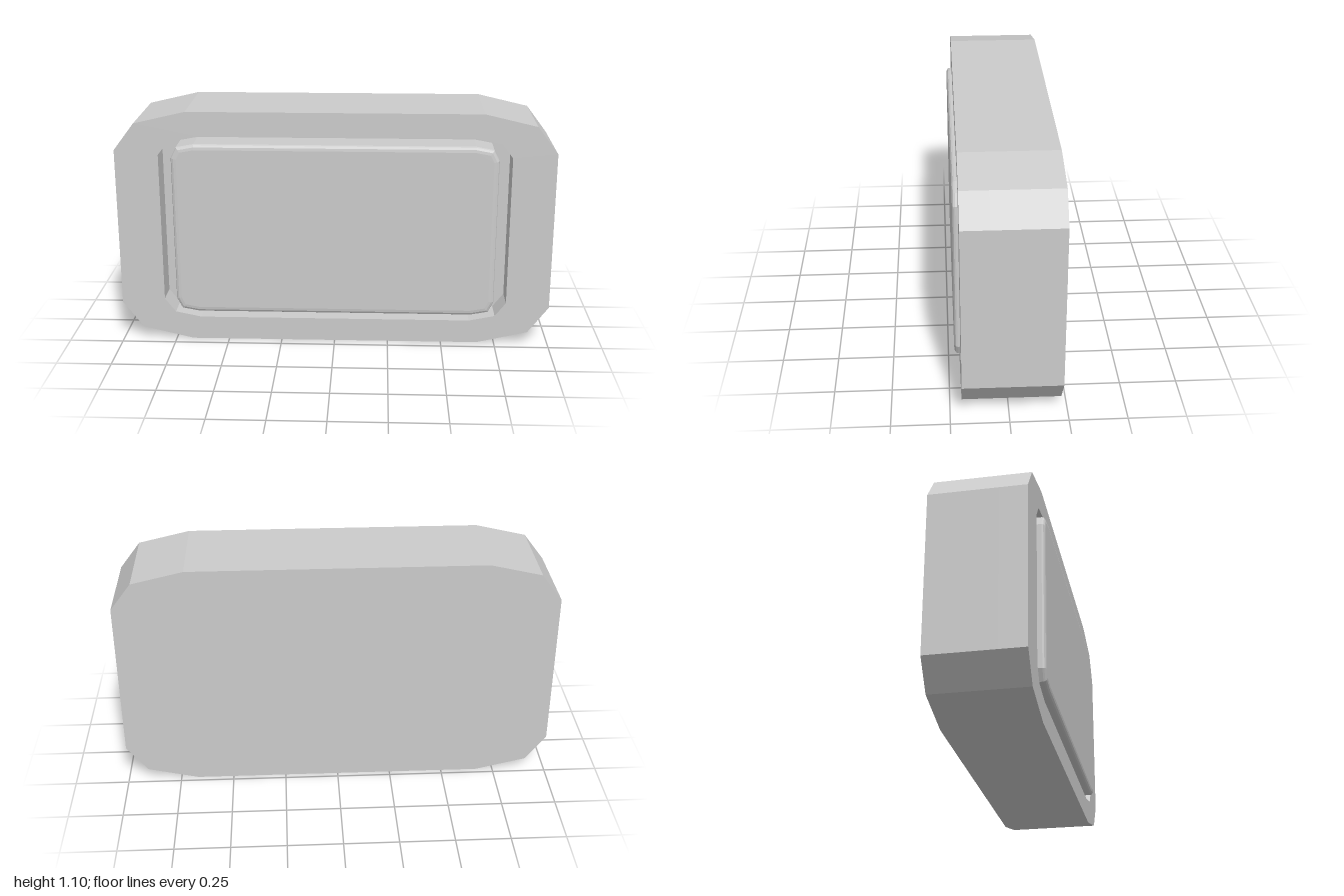
import * as THREE from 'three';

const MID_Y = 0.55;
const RECESS_Z = 0.08;

// Closed outline mirrored from the three points of its upper +x corner
function outline(corner, PathType = THREE.Shape) {
  const back = [...corner].reverse();
  const points = [
    ...corner,
    ...back.map(([x, y]) => [-x, y]),
    ...corner.map(([x, y]) => [-x, -y]),
    ...back.map(([x, y]) => [x, -y]),
  ];
  return new PathType(points.map(([x, y]) => new THREE.Vector2(x, y)));
}

export function createModel() {
  const model = new THREE.Group();
  model.name = 'recessedPanelBlock';
  const material = new THREE.MeshStandardMaterial({ color: 0xcccccc, flatShading: true });

  function addExtrusion(name, shape, z, depth, bevel = { bevelEnabled: false }) {
    const geometry = new THREE.ExtrudeGeometry(shape, { depth, ...bevel });
    const mesh = new THREE.Mesh(geometry, material);
    mesh.name = name;
    mesh.position.set(0, MID_Y, z);
    model.add(mesh);
  }

  // Solid rear of the body, which also forms the recess floor
  const bodyCorner = [[1, 0.37], [0.905, 0.495], [0.67, 0.55]];
  addExtrusion('bodyBack', outline(bodyCorner), -0.225, RECESS_Z + 0.225);

  // Front frame around the recess
  const frame = outline(bodyCorner);
  frame.holes.push(outline([[0.8, 0.35], [0.75, 0.415], [0.63, 0.44]], THREE.Path));
  addExtrusion('frontFrame', frame, RECESS_Z, 0.2 - RECESS_Z);

  // Raised panel with a rounded front edge, its rear sunk into the recess floor
  const thickness = 0.015;
  addExtrusion('frontPanel', outline([[0.74, 0.34], [0.715, 0.39], [0.635, 0.405]]),
    RECESS_Z - thickness, 0.225 - RECESS_Z, {
      bevelEnabled: true, bevelThickness: thickness, bevelSize: 0.025,
      bevelOffset: -0.025, bevelSegments: 3,
    });

  return model;
}
